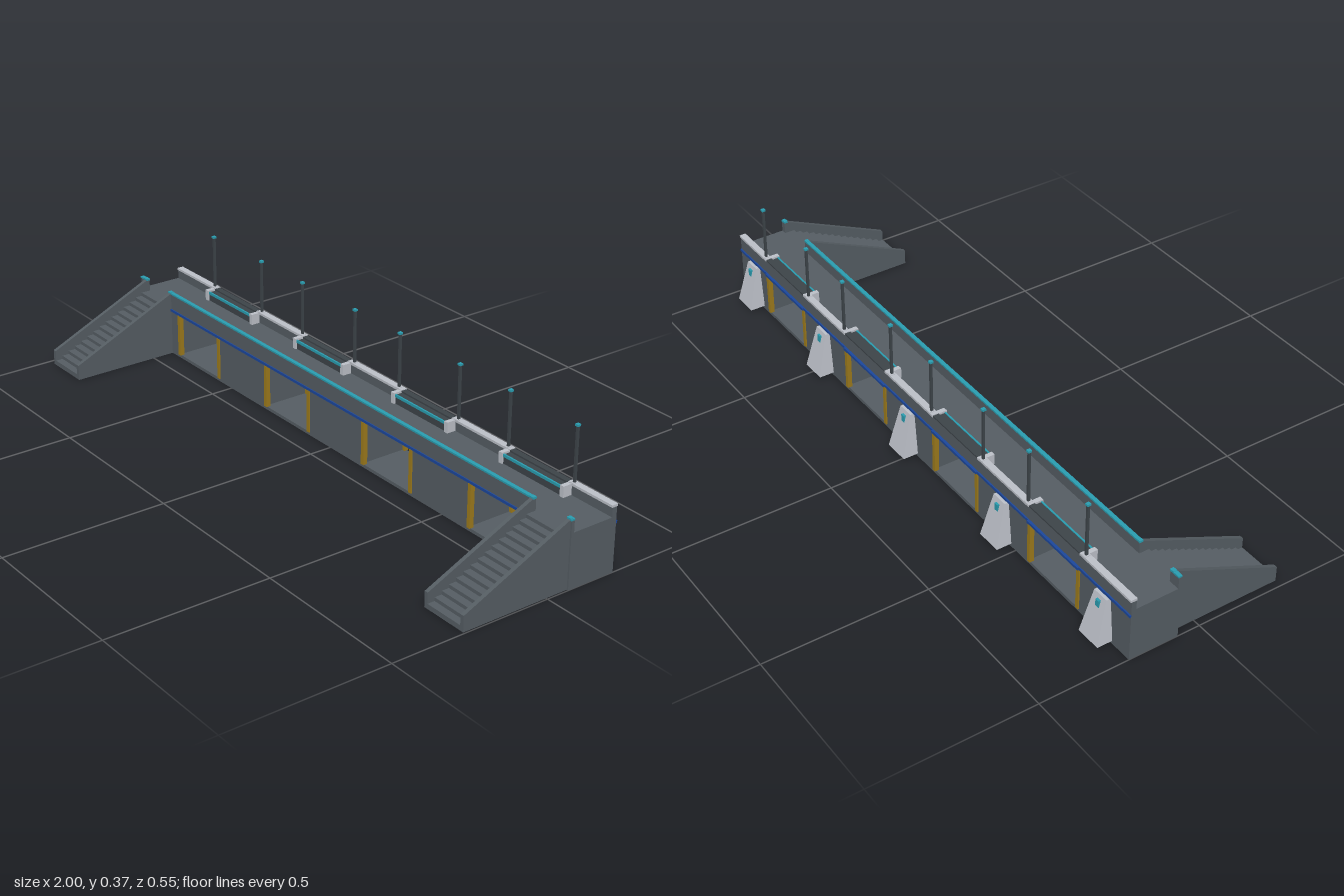
import * as THREE from 'three';

export function createModel() {
  const root = new THREE.Group();
  const mat = (name, color) => new THREE.MeshStandardMaterial({ name, color });
  const stone = mat('slate concrete', 0x555d63);
  const dark = mat('dark metal', 0x3d4449);
  const light = mat('pale concrete', 0xbcc0c8);
  const teal = mat('teal trim', 0x2a9db0);
  const blue = mat('blue band', 0x1c479c);
  const amber = mat('amber frame', 0x9c7a1c);

  const add = (name, geo, m, parent = root) => {
    const mesh = new THREE.Mesh(geo, m);
    mesh.name = name;
    parent.add(mesh);
    return mesh;
  };
  // Box given by its limits on each axis
  const box = (name, m, x0, x1, y0, y1, z0, z1, parent = root) => {
    const b = add(name, new THREE.BoxGeometry(x1 - x0, y1 - y0, z1 - z0), m, parent);
    b.position.set((x0 + x1) / 2, (y0 + y1) / 2, (z0 + z1) / 2);
    return b;
  };
  const polygon = (pts) => new THREE.Shape(pts.map(([x, y]) => new THREE.Vector2(x, y)));

  const FRONT = -0.07, BACK = -0.225, DECK = 0.165;
  const openings = [[-0.785, -0.56], [-0.32, -0.1], [0.15, 0.37], [0.61, 0.835]];

  // Main wall block with four through passages
  const wall = polygon([[-1, 0], [1, 0], [1, DECK], [-1, DECK]]);
  for (const [a, b] of openings) {
    wall.holes.push(new THREE.Path([[a, 0.01], [a, 0.143], [b, 0.143], [b, 0.01]]
      .map(([x, y]) => new THREE.Vector2(x, y))));
  }
  const wallGeo = new THREE.ExtrudeGeometry(wall, { depth: FRONT - BACK, bevelEnabled: false });
  add('wallBlock', wallGeo, stone).position.z = BACK;

  // Front parapet with its trim, and stubs outside the stairs
  for (const [a, b] of [[-1, -0.965], [-0.835, 0.85], [0.985, 1]]) {
    box('frontParapet', stone, a, b, DECK, 0.2, -0.079, FRONT);
    box('frontParapetTrim', teal, a, b, 0.2, 0.205, -0.08, -0.068);
  }

  // Back parapet; its coping is pale between the bays and dark over them
  box('backParapet', stone, -1, 1, DECK, 0.193, BACK, -0.21);
  let edge = -1;
  for (const [a, b] of [...openings, [1, 1]]) {
    box('paleCoping', light, edge, a, 0.193, 0.2, -0.228, -0.208);
    if (b > a) box('darkCoping', dark, a, b, 0.193, 0.198, -0.226, -0.208);
    edge = b;
  }

  // Blue bands on both faces
  box('frontBand', blue, -0.83, 0.85, 0.143, 0.151, FRONT, -0.067);
  box('backBand', blue, -1, 1, 0.143, 0.151, -0.229, BACK);

  // Passage frames and the raised bays above them
  openings.forEach(([a, b], i) => {
    const g = new THREE.Group();
    g.name = 'passage' + (i + 1);
    root.add(g);
    for (const [z0, z1] of [[-0.08, -0.066], [-0.229, -0.215]]) {
      box('leftJamb', amber, a - 0.002, a + 0.01, 0.01, 0.143, z0, z1, g);
      box('rightJamb', amber, b - 0.01, b + 0.002, 0.01, 0.143, z0, z1, g);
    }
    box('lintel', blue, a, b, 0.143, 0.151, -0.233, BACK, g);
    box('bay', dark, a, b, DECK, 0.192, -0.21, -0.186, g);
    box('bayTrim', teal, a, b, 0.186, 0.194, -0.189, -0.184, g);
    box('bayCheek', light, a - 0.014, a, DECK, 0.198, -0.21, -0.181, g);
    box('bayCheek', light, b, b + 0.014, DECK, 0.198, -0.21, -0.181, g);
  });

  // Tapered buttresses on the back wall
  for (const x of [-0.89, -0.44, 0.025, 0.49, 0.91]) {
    const g = new THREE.Group();
    g.name = 'buttress';
    g.position.x = x;
    root.add(g);
    const geo = new THREE.BoxGeometry(1, 1, 1).toNonIndexed();
    const p = geo.attributes.position;
    for (let i = 0; i < p.count; i++) {
      const top = p.getY(i) > 0, outer = p.getZ(i) < 0;
      p.setXYZ(i, Math.sign(p.getX(i)) * (top ? 0.026 : 0.04), top ? 0.143 : 0.01,
        outer ? (top ? -0.238 : -0.272) : BACK);
    }
    geo.computeVertexNormals();
    add('buttressBody', geo, light, g);
    box('buttressMarker', teal, -0.007, 0.007, 0.108, 0.13, -0.248, -0.24, g);
  }

  // Slim poles with trimmed caps
  for (const x of [-0.8, -0.545, -0.335, -0.08, 0.127, 0.387, 0.593, 0.85]) {
    box('poleBase', light, x - 0.008, x + 0.008, 0.193, 0.201, -0.227, -0.209);
    box('pole', dark, x - 0.0035, x + 0.0035, 0.2, 0.363, -0.2215, -0.2145);
    box('poleCap', teal, x - 0.0055, x + 0.0055, 0.362, 0.368, -0.2235, -0.2125);
  }

  // Stairs: a stepped profile between two sloped side walls
  const END = 0.273, STEPS = 15;
  const stepPts = [[FRONT, 0], [END, 0]];
  for (let i = 0; i < STEPS; i++) {
    const y = 0.015 + (DECK - 0.015) * i / (STEPS - 1);
    stepPts.push([END - (END - FRONT) * i / STEPS, y], [END - (END - FRONT) * (i + 1) / STEPS, y]);
  }
  const sidePts = [[FRONT, 0], [END, 0], [END, 0.047], [FRONT, 0.202]];
  // Extrude a (z, y) profile across x
  const across = (name, pts, x0, x1, m, parent) => {
    const geo = new THREE.ExtrudeGeometry(polygon(pts), { depth: x1 - x0, bevelEnabled: false });
    geo.rotateY(-Math.PI / 2);
    geo.translate(x1, 0, 0);
    // the turn maps the profile's x to +z and its depth to -x
    add(name, geo, m, parent);
  };
  for (const cx of [-0.902, 0.92]) {
    const g = new THREE.Group();
    g.name = cx < 0 ? 'rightStair' : 'leftStair';
    g.position.x = cx;
    root.add(g);
    across('steps', stepPts, -0.064, 0.064, stone, g);
    for (const s of [-1, 1]) {
      const c = s * 0.069;
      across('stairSide', sidePts, c - 0.006, c + 0.006, stone, g);
      box('stairPost', stone, c - 0.006, c + 0.006, DECK, 0.202, -0.079, FRONT, g);
      box('stairPostCap', teal, c - 0.007, c + 0.007, 0.2, 0.206, -0.08, -0.068, g);
    }
  }
  return root;
}
